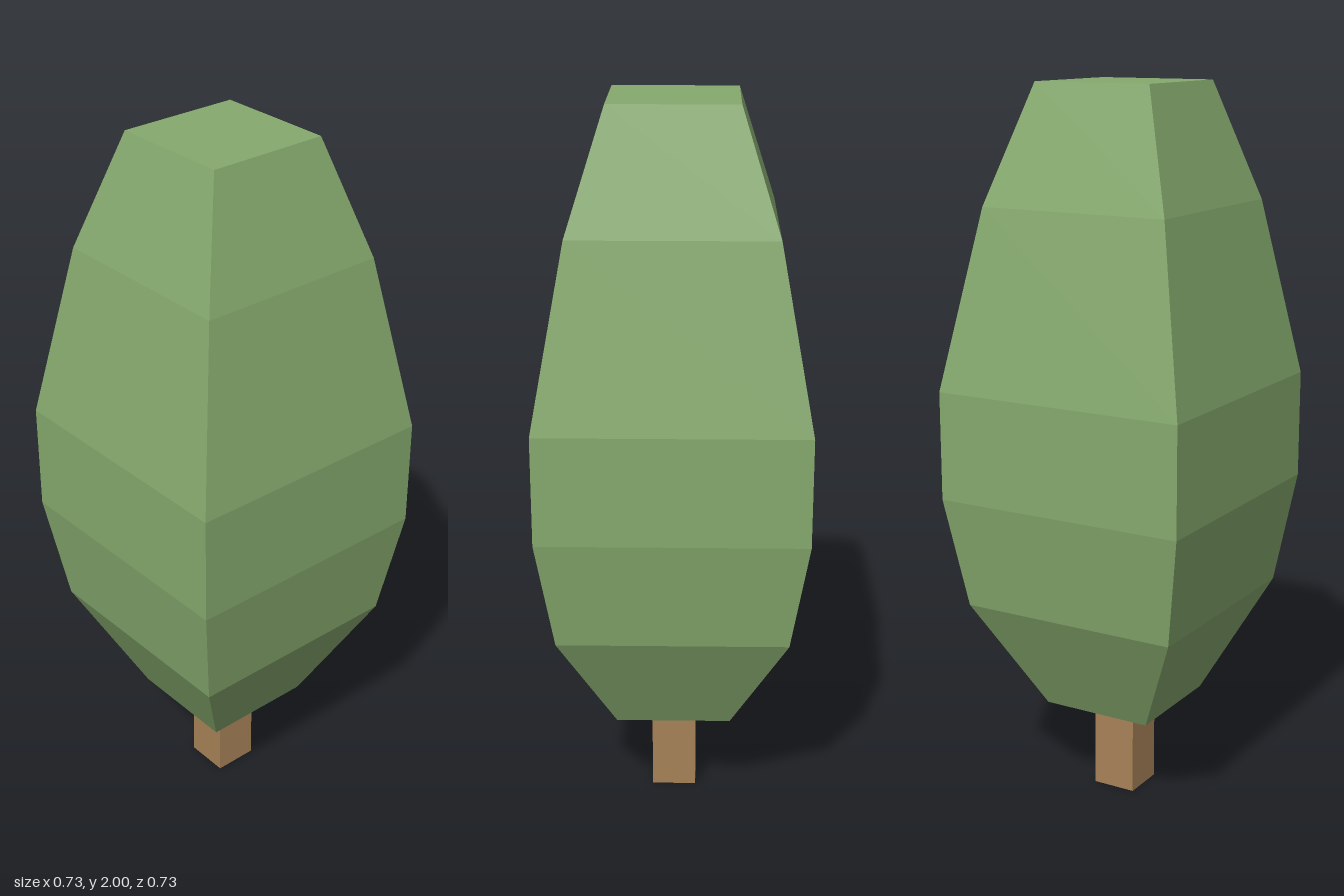
import * as THREE from 'three';

const leafGreen = new THREE.MeshStandardMaterial({ color: 0x86aa6e });
leafGreen.name = 'leafGreen';
const barkBrown = new THREE.MeshStandardMaterial({ color: 0xa88358, side: THREE.DoubleSide });
barkBrown.name = 'barkBrown';

// Square solid from [half width, height] pairs, listed bottom to top, with flat faces
function squareLathe(profile) {
  const points = profile.map(([half, y]) => new THREE.Vector2(half * Math.SQRT2, y));
  const geometry = new THREE.LatheGeometry(points, 4, Math.PI / 4).toNonIndexed();
  geometry.computeVertexNormals();
  return geometry;
}

function addPart(group, name, geometry, material) {
  const mesh = new THREE.Mesh(geometry, material);
  mesh.name = name;
  group.add(mesh);
}

export function createModel() {
  const tree = new THREE.Group();
  tree.name = 'tree';

  // Square trunk, open at both ends
  addPart(tree, 'trunk', squareLathe([[0.0625, 0], [0.0625, 0.265]]), barkBrown);

  // Faceted crown, closed at bottom and top
  addPart(tree, 'foliage', squareLathe([
    [0, 0.265], [0.16, 0.265], [0.315, 0.58], [0.363, 0.89],
    [0.363, 1.19], [0.273, 1.68], [0.171, 2], [0, 2],
  ]), leafGreen);

  return tree;
}
